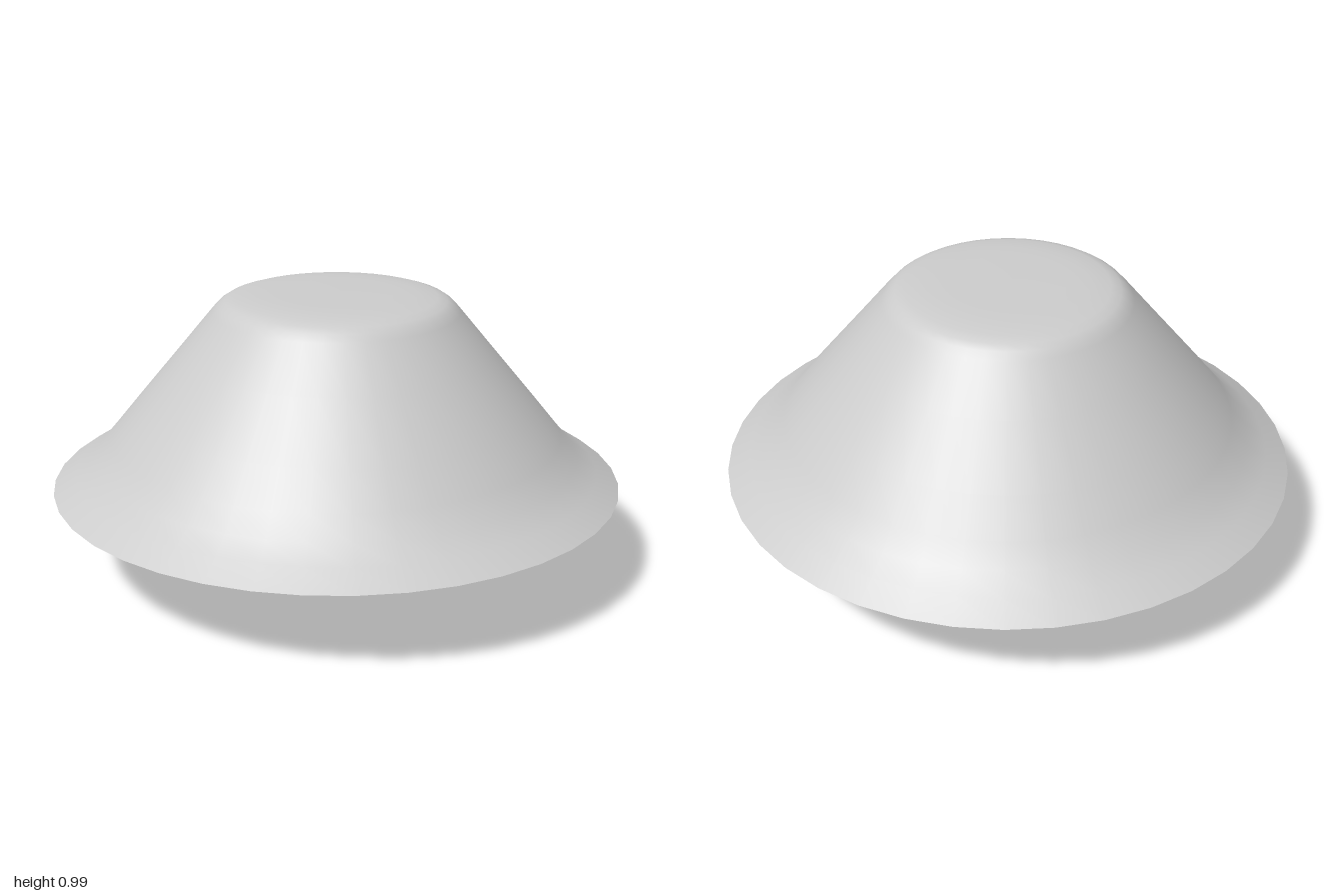
import * as THREE from 'three';
import { mergeGeometries } from 'three/addons/utils/BufferGeometryUtils.js';

const SEGMENTS = 40;
const material = new THREE.MeshStandardMaterial({ color: 0xcccccc, side: THREE.DoubleSide });

// Turned part: each strip is a smooth [radius, y] profile, and strips meet at sharp edges.
// Strips run up the outside, and outwards underneath.
function turned(name, ...strips) {
  const parts = strips.map((strip) =>
    new THREE.LatheGeometry(strip.map(([r, y]) => new THREE.Vector2(r, y)), SEGMENTS));
  const mesh = new THREE.Mesh(mergeGeometries(parts), material);
  mesh.name = name;
  return mesh;
}

export function createModel() {
  const lamp = new THREE.Group();
  lamp.name = 'pendantLamp';

  // Large outer shade with a flared brim and softly rounded flat top
  lamp.add(turned('outerShade',
    [[1, 0.315], [0.92, 0.367], [0.85, 0.42], [0.79, 0.49], [0.7, 0.6], [0.55, 0.78],
      [0.43, 0.925], [0.408, 0.948], [0.385, 0.963], [0.35, 0.974], [0.28, 0.981], [0.2, 0.984], [0, 0.985]],
    [[0.64, 0.45], [0.74, 0.43], [0.81, 0.39], [0.87, 0.335]],
    [[0.87, 0.335], [1, 0.315]]));

  // Two bell-shaped rings nested under the shade, each closing against the next
  lamp.add(turned('upperRing',
    [[0.81, 0.271], [0.77, 0.297], [0.735, 0.325], [0.7, 0.375], [0.68, 0.46]],
    [[0.52, 0.41], [0.6, 0.38], [0.66, 0.335], [0.7, 0.295]],
    [[0.7, 0.295], [0.76, 0.28], [0.81, 0.271]]));
  lamp.add(turned('lowerRing',
    [[0.718, 0.204], [0.675, 0.234], [0.645, 0.267], [0.6, 0.32], [0.565, 0.41]],
    [[0.17, 0.43], [0.35, 0.41], [0.47, 0.36], [0.53, 0.275]],
    [[0.53, 0.275], [0.62, 0.23], [0.718, 0.204]]));

  // Lower bowl with a narrow neck and a hollow underside
  lamp.add(turned('lowerBowl',
    [[0.55, 0.112], [0.556, 0.12], [0.548, 0.138], [0.51, 0.162], [0.46, 0.206],
      [0.4, 0.245], [0.3, 0.28], [0.22, 0.315], [0.185, 0.36], [0.18, 0.44]],
    [[0, 0.26], [0.08, 0.252], [0.16, 0.215], [0.3, 0.168], [0.45, 0.133], [0.55, 0.112]]));

  // Short stem between bowl and disc
  lamp.add(turned('stem', [[0.07, 0.1], [0.07, 0.255]]));

  // Small disc below the bowl, with a rounded edge
  lamp.add(turned('disc',
    [[0, 0.08], [0.16, 0.08], [0.205, 0.075]],
    [[0.205, 0.075], [0.222, 0.076], [0.232, 0.084], [0.236, 0.098], [0.232, 0.111], [0.222, 0.115]],
    [[0.222, 0.115], [0, 0.115]]));

  // Domed finial with a slight point
  lamp.add(turned('finial',
    [[0, 0], [0.04, 0.01], [0.09, 0.025], [0.125, 0.044], [0.142, 0.06], [0.145, 0.082]]));

  return lamp;
}
